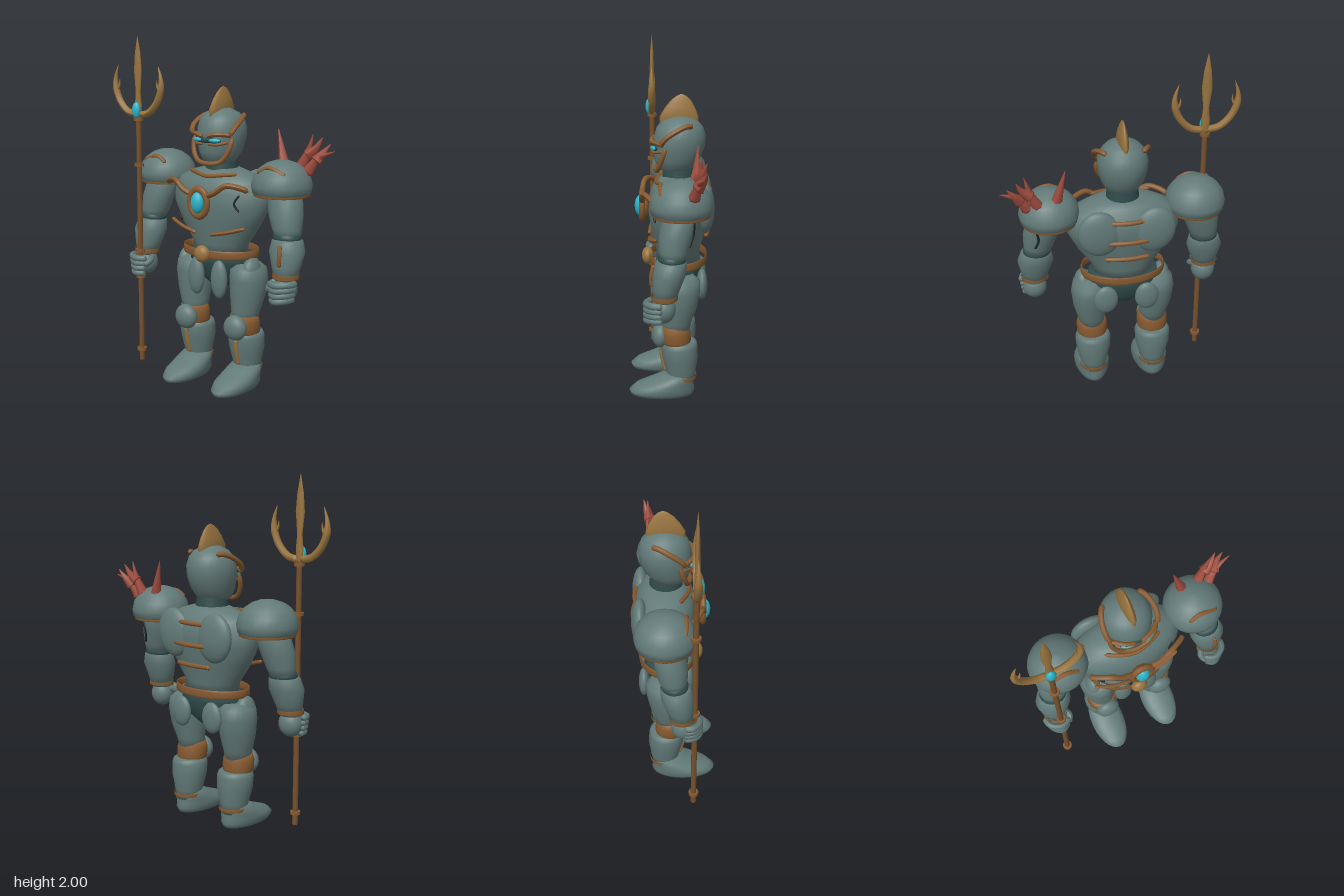
import * as THREE from 'three';

const mat = (name, color) => Object.assign(new THREE.MeshStandardMaterial({ color }), { name });

export function createModel() {
  const armor = mat('slate armor', 0x627a78), dark = mat('dark joint', 0x2f4b4a), bronze = mat('bronze trim', 0x85592f),
    gold = mat('old gold', 0x98743f), shaftBrown = mat('shaft brown', 0x75502c), coral = mat('coral red', 0x9c4a3c),
    cyan = mat('cyan gem', 0x2bb4c8), black = mat('crack black', 0x1b2628);
  const model = new THREE.Group();
  model.name = 'armoredGuardian';

  const add = (name, geo, material, x = 0, y = 0, z = 0, parent = model) => {
    const m = new THREE.Mesh(geo, material);
    m.name = name;
    m.position.set(x, y, z);
    parent.add(m);
    return m;
  };
  // Elliptical cross-sections [y, radiusX, radiusZ, centreX, centreZ], bottom to top, closed at both ends
  const loft = (rings, seg = 28) => {
    const pos = [], idx = [], first = rings[0], last = rings[rings.length - 1];
    const all = [[first[0], 0, 0, first[3], first[4]], ...rings, [last[0], 0, 0, last[3], last[4]]];
    for (const [y, rx, rz, cx = 0, cz = 0] of all)
      for (let j = 0; j < seg; j++) {
        const a = j / seg * Math.PI * 2;
        pos.push(cx + rx * Math.cos(a), y, cz + rz * Math.sin(a));
      }
    for (let i = 0; i < all.length - 1; i++)
      for (let j = 0; j < seg; j++) {
        const k = (j + 1) % seg, a = i * seg + j, b = i * seg + k;
        idx.push(a, a + seg, b, b, a + seg, b + seg);
      }
    const g = new THREE.BufferGeometry();
    g.setAttribute('position', new THREE.Float32BufferAttribute(pos, 3));
    g.setIndex(idx);
    g.computeVertexNormals();
    return g;
  };
  const ball = (rx, ry, rz) => new THREE.SphereGeometry(1, 24, 16).scale(rx, ry, rz);
  // Rod along points; the radius follows a taper rule and closes at both ends
  const rod = (pts, r, taper = () => 1, sides = 8) => {
    const path = new THREE.CatmullRomCurve3(pts.map(p => new THREE.Vector3(...p)));
    const n = 20, g = new THREE.TubeGeometry(path, n, r, sides), p = g.attributes.position, v = new THREE.Vector3();
    for (let i = 0; i <= n; i++) {
      const c = path.getPointAt(i / n), f = i === 0 || i === n ? 0 : taper(i / n);
      for (let j = 0; j <= sides; j++) {
        const k = i * (sides + 1) + j;
        v.fromBufferAttribute(p, k).sub(c).multiplyScalar(f).add(c);
        p.setXYZ(k, v.x, v.y, v.z);
      }
    }
    g.computeVertexNormals();
    return g;
  };
  // Horizontal elliptical band
  const band = (rx, rz, t) => new THREE.TorusGeometry(1, t, 10, 40).rotateX(Math.PI / 2)
    .scale(rx, 1, rz);

  // Torso, neck and hips
  add('torso', loft([[0.77, 0.17, 0.12, 0, -0.04], [0.83, 0.18, 0.125, 0, -0.04], [0.95, 0.265, 0.155, 0, -0.04],
    [1.06, 0.32, 0.175, 0, -0.045], [1.14, 0.32, 0.175, 0, -0.05], [1.2, 0.28, 0.155, 0, -0.05],
    [1.24, 0.2, 0.12, 0, -0.05], [1.265, 0.11, 0.09, 0, -0.05]], 36), armor);
  add('neck', new THREE.CylinderGeometry(0.085, 0.1, 0.12, 24), dark, 0, 1.27, -0.045);
  add('hips', loft([[0.58, 0.07, 0.06, 0, -0.05], [0.64, 0.17, 0.11, 0, -0.05], [0.72, 0.21, 0.13, 0, -0.045],
    [0.78, 0.2, 0.13, 0, -0.04]]), dark);
  add('belt', band(0.225, 0.155, 0.025).scale(1, 1, 1), bronze, 0, 0.785, -0.04).scale.set(1.07, 1, 1.06);
  add('buckle', ball(0.05, 0.05, 0.035), gold, 0, 0.785, 0.135);

  // Chest ornament and trim
  add('gemFrame', new THREE.TorusGeometry(0.06, 0.018, 10, 32).scale(1, 1.25, 1), bronze, 0, 1.085, 0.165);
  add('gemBacking', ball(0.055, 0.07, 0.03), bronze, 0, 1.085, 0.15);
  add('chestGem', ball(0.042, 0.062, 0.035), cyan, 0, 1.085, 0.173);
  add('collarTrim', rod([[-0.17, 1.245, 0.03], [-0.08, 1.235, 0.07], [0, 1.225, 0.085], [0.08, 1.235, 0.07], [0.17, 1.245, 0.03]], 0.012), bronze);
  for (const s of [1, -1]) {
    add('chestTrim', rod([[s * 0.05, 1.125, 0.16], [s * 0.11, 1.15, 0.165], [s * 0.18, 1.195, 0.15], [s * 0.25, 1.185, 0.115], [s * 0.29, 1.165, 0.085]], 0.016), bronze);
    add('ribTrim', rod([[s * 0.05, 0.9, 0.125], [s * 0.16, 0.925, 0.115], [s * 0.265, 0.955, 0.085]], 0.011), bronze);
    add('backPlate', ball(0.12, 0.14, 0.05), armor, s * 0.155, 1.11, -0.19).rotation.z = s * -0.15;
  }
  for (const [y, w, z] of [[1.18, 0.11, -0.222], [1.06, 0.13, -0.235], [0.94, 0.13, -0.21]])
    add('backBar', rod([[-w, y, z + 0.015], [0, y, z], [w, y, z + 0.015]], 0.013), bronze);
  add('chestCrack', rod([[0.225, 1.14, 0.085], [0.2, 1.09, 0.1], [0.225, 1.045, 0.088]], 0.006), black);
  add('sideCrack', rod([[-0.24, 0.99, 0.058], [-0.215, 0.97, 0.07], [-0.195, 0.955, 0.08]], 0.006), black);

  // Head, crest and face
  add('head', loft([[1.285, 0.06, 0.06, 0, -0.02], [1.31, 0.095, 0.1, 0, -0.025], [1.36, 0.12, 0.13, 0, -0.035],
    [1.43, 0.138, 0.145, 0, -0.045], [1.49, 0.14, 0.145, 0, -0.05], [1.54, 0.125, 0.13, 0, -0.05],
    [1.575, 0.095, 0.1, 0, -0.05], [1.6, 0.045, 0.05, 0, -0.05], [1.605, 0.01, 0.01, 0, -0.05]]), armor);
  add('crest', loft([[1.53, 0.02, 0.11, 0, -0.045], [1.6, 0.031, 0.108, 0, -0.045], [1.65, 0.024, 0.083, 0, -0.05],
    [1.69, 0.014, 0.055, 0, -0.055], [1.713, 0.007, 0.028, 0, -0.058], [1.722, 0.001, 0.006, 0, -0.058]], 16), gold);
  add('visorSlit', ball(0.1, 0.018, 0.02), dark, 0, 1.43, 0.088);
  add('jawTrim', rod([[-0.135, 1.45, 0.03], [-0.125, 1.37, 0.055], [-0.08, 1.31, 0.075], [0, 1.297, 0.09],
    [0.08, 1.31, 0.075], [0.125, 1.37, 0.055], [0.135, 1.45, 0.03]], 0.014), bronze);
  for (const s of [1, -1]) {
    add('brow', rod([[s * 0.015, 1.452, 0.112], [s * 0.07, 1.465, 0.1], [s * 0.14, 1.46, 0.045]], 0.013), bronze);
    add('lowerLid', rod([[s * 0.02, 1.41, 0.108], [s * 0.07, 1.408, 0.095], [s * 0.12, 1.42, 0.05]], 0.008), bronze);
    add('eye', ball(0.036, 0.012, 0.015), cyan, s * 0.062, 1.431, 0.098).rotation.y = s * 0.3;
    add('templeTrim', rod([[s * 0.135, 1.46, 0.06], [s * 0.148, 1.5, 0.03], [s * 0.145, 1.54, -0.03],
      [s * 0.125, 1.562, -0.085], [s * 0.1, 1.56, -0.12]], 0.015), bronze);
  }

  for (const s of [1, -1]) {
    // Shoulders
    add('shoulder', loft([[1.14, 0.135, 0.135], [1.16, 0.163, 0.163], [1.2, 0.17, 0.17], [1.25, 0.158, 0.158], [1.29, 0.13, 0.13],
      [1.32, 0.088, 0.088], [1.335, 0.045, 0.045], [1.34, 0.005, 0.005]]), armor, s * 0.415, 0, -0.05);
    add('shoulderRim', band(0.155, 0.155, 0.016), bronze, s * 0.415, 1.158, -0.05);
    add('shoulderTrim', rod([[s * 0.51, 1.265, 0.05], [s * 0.46, 1.29, 0.06], [s * 0.4, 1.303, 0.06], [s * 0.33, 1.27, 0.065]], 0.013), bronze);
    // Arms
    add('upperArm', loft([[0.92, 0.07, 0.065, s * 0.49, -0.005], [0.97, 0.085, 0.08, s * 0.48, -0.01], [1.05, 0.1, 0.09, s * 0.465, -0.02],
      [1.12, 0.1, 0.09, s * 0.45, -0.035], [1.18, 0.08, 0.08, s * 0.44, -0.04]]), armor);
    add('elbow', ball(0.08, 0.045, 0.075), dark, s * 0.49, 0.925, 0);
    add('forearm', loft([[0.7, 0.062, 0.06, s * 0.51, 0.04], [0.77, 0.083, 0.075, s * 0.505, 0.03], [0.85, 0.104, 0.09, s * 0.5, 0.015],
      [0.91, 0.088, 0.085, s * 0.495, 0.005], [0.92, 0.07, 0.07, s * 0.495, 0.005]]), armor);
    add('wristRing', band(0.075, 0.07, 0.014), bronze, s * 0.51, 0.722, 0.04);
    add('palm', ball(0.07, 0.075, 0.065), armor, s * 0.51, 0.65, 0.045);
    for (let i = 0; i < 4; i++)
      add('finger', rod([[s * 0.585, 0, 0.05], [s * 0.572, 0, 0.105], [s * 0.51, -0.006, 0.138], [s * 0.448, -0.006, 0.11]]
        .map(([x, y, z]) => [x + (s * 0.51 - x) * i * 0.08, y + 0.69 - i * 0.03, z]), 0.019), armor);
    add('thumb', rod([[s * 0.46, 0.69, 0.05], [s * 0.44, 0.67, 0.09], [s * 0.46, 0.645, 0.125]], 0.019), armor);

    // Hip plates
    add('frontTasset', ball(0.054, 0.112, 0.035), armor, s * 0.083, 0.638, 0.085);
    add('sideTasset', ball(0.05, 0.09, 0.07), armor, s * 0.235, 0.68, -0.02);
    add('rearTasset', ball(0.07, 0.09, 0.032), armor, s * 0.12, 0.65, -0.175);

    // Legs
    add('thigh', loft([[0.38, 0.07, 0.075, s * 0.185, -0.025], [0.45, 0.083, 0.085, s * 0.188, -0.03], [0.54, 0.1, 0.105, s * 0.195, -0.04],
      [0.64, 0.108, 0.118, s * 0.198, -0.045], [0.7, 0.1, 0.115, s * 0.195, -0.045], [0.73, 0.07, 0.08, s * 0.19, -0.045]]), armor);
    add('kneeBand', loft([[0.3, 0.08, 0.075, 0, -0.03], [0.34, 0.092, 0.088, 0, -0.025], [0.39, 0.092, 0.088, 0, -0.02],
      [0.43, 0.08, 0.078, 0, -0.02]]), bronze, s * 0.185);
    add('kneeCap', ball(0.074, 0.074, 0.05), armor, s * 0.182, 0.365, 0.062);
    add('shin', loft([[0.08, 0.075, 0.075, 0, -0.055], [0.14, 0.082, 0.085, 0, -0.055], [0.23, 0.103, 0.103, 0, -0.05],
      [0.3, 0.107, 0.105, 0, -0.045], [0.325, 0.095, 0.1, 0, -0.045], [0.33, 0.08, 0.085, 0, -0.045]]), armor, s * 0.183);
    add('shinStripe', rod([[s * 0.183, 0.135, 0.03], [s * 0.183, 0.22, 0.052], [s * 0.183, 0.3, 0.062]], 0.012), gold);
    add('ankleRing', band(0.085, 0.085, 0.011), bronze, s * 0.183, 0.11, -0.06);
    // Boot: tall heel sloping to a low rounded toe, flat sole
    add('boot', loft([[0, 0.09, 0.18, 0, 0.055], [0.025, 0.105, 0.19, 0, 0.055], [0.055, 0.107, 0.17, 0, 0.04],
      [0.085, 0.102, 0.13, 0, 0.0], [0.11, 0.095, 0.1, 0, -0.03], [0.135, 0.078, 0.078, 0, -0.05]]), armor, s * 0.183);
  }

  // Coral growths and damage on the left arm
  const point = t => 1.05 - t;
  for (const pts of [
    [[0.385, 1.28, -0.12], [0.36, 1.37, -0.13], [0.325, 1.5, -0.14]],
    [[0.475, 1.28, -0.13], [0.52, 1.38, -0.145], [0.55, 1.485, -0.15]],
    [[0.515, 1.36, -0.14], [0.56, 1.4, -0.155], [0.595, 1.465, -0.175]],
    [[0.53, 1.26, -0.11], [0.59, 1.35, -0.135], [0.685, 1.395, -0.155]],
    [[0.575, 1.33, -0.13], [0.605, 1.38, -0.16], [0.645, 1.43, -0.175]]])
    add('coralSpike', rod(pts, 0.034, point, 7), coral);
  add('armStripe', rod([[0.51, 0.78, 0.107], [0.513, 0.84, 0.11], [0.508, 0.9, 0.095]], 0.012), bronze);
  add('armCrack', rod([[0.5, 1.13, -0.115], [0.485, 1.06, -0.112], [0.505, 0.99, -0.09]], 0.007), black);

  // Trident
  const trident = new THREE.Group();
  trident.name = 'trident';
  trident.position.set(-0.5, 0, 0.11);
  model.add(trident);
  add('shaft', new THREE.CylinderGeometry(0.016, 0.016, 1.5, 12), shaftBrown, 0, 0.79, 0, trident);
  for (const y of [0.11, 0.57, 0.73, 1.25, 1.52])
    add('collar', new THREE.CylinderGeometry(0.029, 0.029, 0.018, 14), bronze, 0, y, 0, trident);
  add('centreBlade', loft([[1.52, 0.02, 0.014], [1.6, 0.026, 0.014], [1.68, 0.017, 0.012], [1.8, 0.031, 0.013],
    [1.9, 0.022, 0.01], [2, 0.001, 0.001]], 8), gold, 0, 0, 0, trident);
  for (const s of [1, -1]) {
    add('sideProng', rod([[0, 1.545, 0], [s * 0.08, 1.56, 0], [s * 0.145, 1.62, 0], [s * 0.178, 1.7, 0], [s * 0.178, 1.76, 0], [s * 0.156, 1.835, 0]],
      0.021, t => t < 0.65 ? 1 : (1.02 - t) / 0.37, 7), gold, 0, 0, 0, trident);
    add('barb', rod([[s * 0.172, 1.68, 0], [s * 0.152, 1.71, 0], [s * 0.145, 1.755, 0]], 0.012, point, 6), gold, 0, 0, 0, trident);
  }
  add('tridentGem', ball(0.028, 0.048, 0.022), cyan, 0, 1.572, 0.018, trident);
  return model;
}
